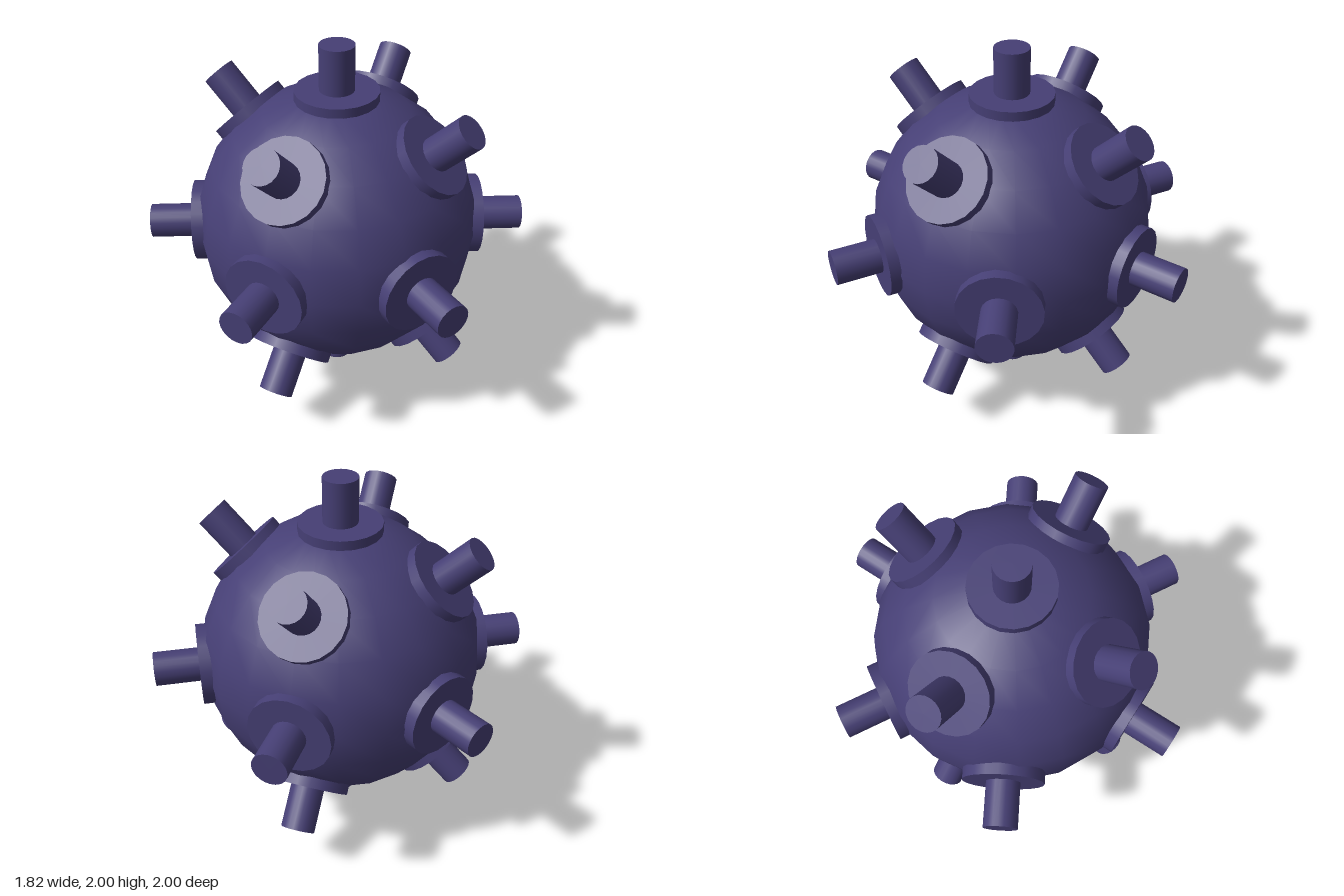
import * as THREE from 'three';

const CENTER_Y = 1;
const BODY_RADIUS = 0.75;

export function createModel() {
  const model = new THREE.Group();
  model.name = 'spikedBall';
  const material = new THREE.MeshStandardMaterial({ color: 0x463f75 });

  // Round body
  const body = new THREE.Mesh(new THREE.SphereGeometry(BODY_RADIUS, 20, 12), material);
  body.name = 'body';
  body.position.y = CENTER_Y;
  model.add(body);

  // One prong: a round base plate with a rod, both along local +y
  const plateGeometry = new THREE.CylinderGeometry(0.215, 0.215, 0.075, 20).translate(0, 0.7275, 0);
  const rodGeometry = new THREE.CylinderGeometry(0.09, 0.09, 0.3, 20).translate(0, 0.85, 0);
  const up = new THREE.Vector3(0, 1, 0);

  function addProng(elevation, azimuth) {
    const e = THREE.MathUtils.degToRad(elevation);
    const a = THREE.MathUtils.degToRad(azimuth);
    const direction = new THREE.Vector3(
      Math.cos(e) * Math.sin(a), Math.sin(e), Math.cos(e) * Math.cos(a));
    const prong = new THREE.Group();
    prong.name = 'prong';
    const plate = new THREE.Mesh(plateGeometry, material);
    plate.name = 'basePlate';
    const rod = new THREE.Mesh(rodGeometry, material);
    rod.name = 'rod';
    prong.add(plate, rod);
    prong.position.y = CENTER_Y;
    prong.quaternion.setFromUnitVectors(up, direction);
    model.add(prong);
  }

  // Rings of prongs: poles, two slanted rings of four, equator of six
  const rings = [[90, 1], [45, 4], [0, 6], [-45, 4], [-90, 1]];
  for (const [elevation, count] of rings) {
    for (let i = 0; i < count; i++) addProng(elevation, (i * 360) / count);
  }

  return model;
}
